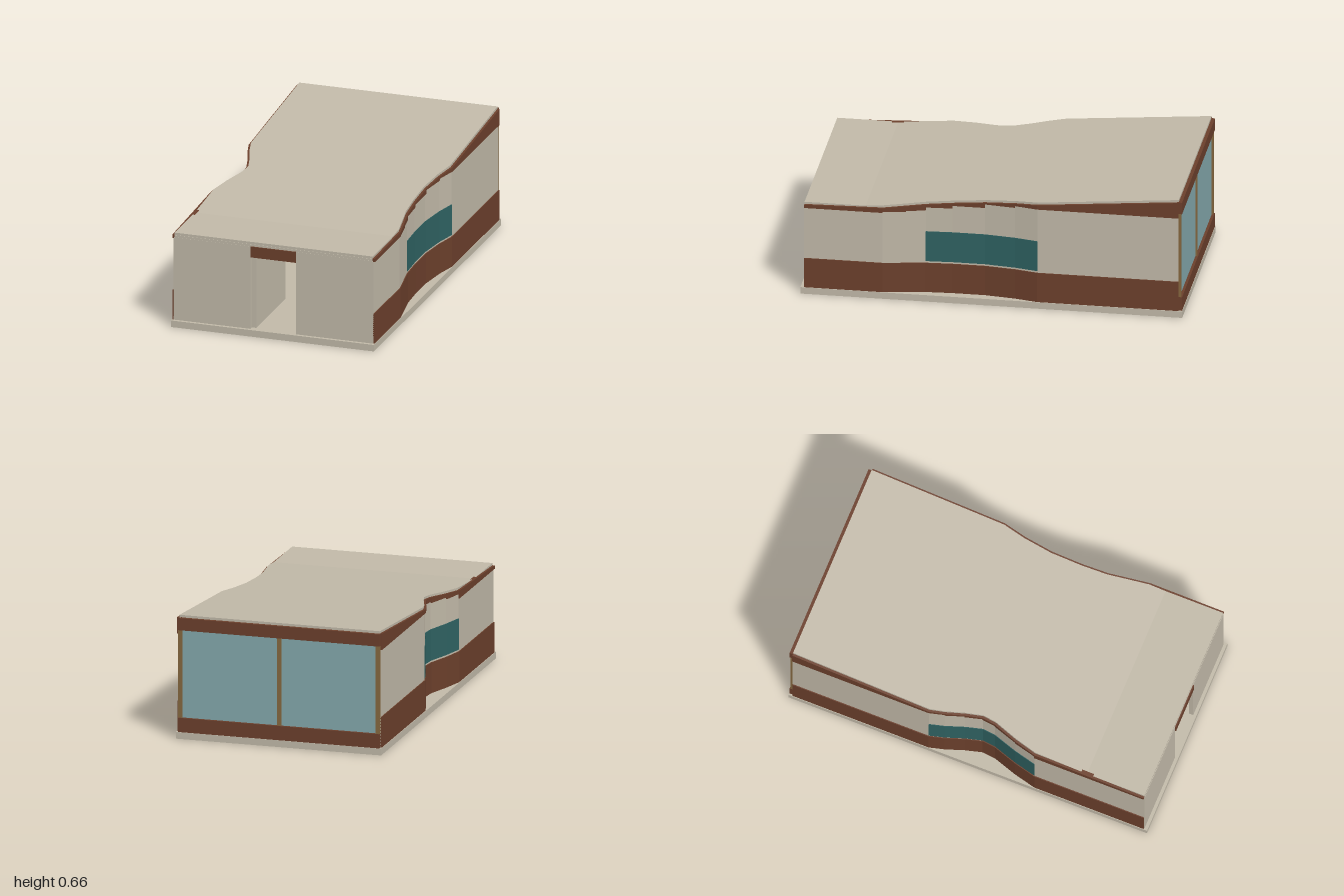
import * as THREE from 'three';
import { mergeGeometries } from 'three/addons/utils/BufferGeometryUtils.js';

const mat = (name, color) => {
  const m = new THREE.MeshStandardMaterial({ color });
  m.name = name;
  return m;
};

// Six-sided block between two z stations; each end is { z, x0, x1, y0, y1 }
function block(a, b) {
  const g = new THREE.BoxGeometry(1, 1, 1);
  const p = g.attributes.position;
  for (let i = 0; i < p.count; i++) {
    const e = p.getZ(i) < 0 ? a : b;
    p.setXYZ(i, p.getX(i) < 0 ? e.x0 : e.x1, p.getY(i) < 0 ? e.y0 : e.y1, e.z);
  }
  g.computeVertexNormals();
  return g;
}

// Side wall plans from back to front: [z, distance from the centre line, wall top of next panel]
const PLANS = {
  left: { side: 1, from: -0.24, to: 0.35, pts: [
    [-0.98, 0.548, 0.56], [-0.24, 0.548, 0.56], [-0.12, 0.522, 0.55], [0.04, 0.503, 0.53],
    [0.21, 0.503, 0.515], [0.35, 0.511, 0.497], [0.45, 0.528, 0.49], [0.57, 0.548, 0.485], [0.98, 0.548]] },
  right: { side: -1, from: -0.22, to: 0.37, pts: [
    [-0.98, 0.548, 0.56], [-0.22, 0.548, 0.56], [-0.14, 0.527, 0.55], [-0.04, 0.492, 0.54],
    [0.05, 0.468, 0.53], [0.12, 0.475, 0.52], [0.25, 0.518, 0.51], [0.37, 0.548, 0.485], [0.98, 0.548]] },
};

// Roof surface: level at the front, rising to the back
const roofY = (z) => 0.515 + Math.max(0, 0.66 - z) * 0.0884;

// Plan distance at any z
function planX(pts, z) {
  for (let i = 0; i < pts.length - 1; i++) {
    const [z0, x0] = pts[i], [z1, x1] = pts[i + 1];
    if (z <= z1) return x0 + (x1 - x0) * Math.max(0, (z - z0) / (z1 - z0));
  }
  return pts[pts.length - 1][1];
}

// Layer following a side wall; out = projection past the wall, depth = thickness
function layer(plan, out, depth, bottom, top, from = -1, to = 1) {
  const parts = [];
  for (let i = 0; i < plan.pts.length - 1; i++) {
    const panelTop = plan.pts[i][2];
    if (plan.pts[i][0] < from - 0.001 || plan.pts[i + 1][0] > to + 0.001) continue;
    const ends = [plan.pts[i], plan.pts[i + 1]].map(([z, d]) => {
      const outer = plan.side * (d + out), inner = plan.side * (d + out - depth);
      return { z, x0: Math.min(outer, inner), x1: Math.max(outer, inner),
        y0: bottom(z, panelTop), y1: top(z, panelTop) };
    });
    parts.push(block(ends[0], ends[1]));
  }
  return mergeGeometries(parts);
}

export function createModel() {
  const beige = mat('beige plaster', 0xc2baa9);
  const brown = mat('brown cladding', 0x6c402c);
  const teal = mat('teal glass', 0x2f6262);
  const glass = mat('pale glass', 0x84a9ad);
  const tan = mat('tan frame', 0x86683f);

  const house = new THREE.Group();
  house.name = 'house';
  const add = (name, geometry, material) => {
    const m = new THREE.Mesh(geometry, material);
    m.name = name;
    house.add(m);
    return m;
  };
  const box = (name, material, x0, x1, y0, y1, z0, z1) =>
    add(name, block({ z: z0, x0, x1, y0, y1 }, { z: z1, x0, x1, y0, y1 }), material);

  // Floor slab
  box('floorSlab', beige, -0.556, 0.556, 0, 0.036, -1, 1);

  // Side walls with lower cladding, ribbon window and roof fascia
  for (const [name, plan] of Object.entries(PLANS)) {
    add(name + 'Wall', layer(plan, 0, 0.02, () => 0.036, (z, t) => t), beige);
    add(name + 'Cladding', layer(plan, 0.005, 0.012, () => 0.036, () => 0.2), brown);
    add(name + 'Window', layer(plan, 0.003, 0.008, () => 0.21, () => 0.378, plan.from, plan.to), teal);
    add(name + 'Fascia', layer(plan, 0.007, 0.025, (z, t) => t, (z) => roofY(z) - 0.012), brown);
  }

  // Roof sheet following both side plans
  const stations = [...new Set([...PLANS.left.pts, ...PLANS.right.pts].map((p) => p[0]).concat(0.66))]
    .sort((a, b) => a - b);
  const ends = stations.map((z) => ({
    z, x0: -planX(PLANS.right.pts, z) + 0.005, x1: planX(PLANS.left.pts, z) - 0.005,
    y0: roofY(z) - 0.014, y1: roofY(z),
  }));
  add('roof', mergeGeometries(ends.slice(1).map((e, i) => block(ends[i], e))), beige);

  // Front wall with open doorway
  for (const s of [-1, 1]) {
    box('frontWall', beige, s < 0 ? -0.546 : 0.125, s < 0 ? -0.125 : 0.546, 0.036, 0.49, 0.96, 0.983);
  }
  box('frontBeam', beige, -0.543, 0.543, 0.49, 0.502, 0.955, 0.982);
  box('doorHeader', brown, -0.125, 0.125, 0.432, 0.491, 0.962, 0.988);
  box('hallWall', beige, -0.125, -0.102, 0.036, 0.49, 0.5, 0.96);

  // Glazed back wall
  box('backGlass', glass, -0.54, 0.54, 0.11, 0.59, -0.984, -0.978);
  box('backSillBand', brown, -0.546, 0.546, 0.036, 0.112, -0.998, -0.975);
  box('backTopBand', brown, -0.546, 0.546, 0.582, 0.647, -0.998, -0.975);
  for (const x of [-0.535, 0, 0.535]) {
    box('backPost', tan, x - 0.011, x + 0.011, 0.112, 0.582, -0.992, -0.978);
  }
  box('innerMullion', brown, -0.012, 0.01, 0.036, 0.42, -0.977, -0.96);

  return house;
}
